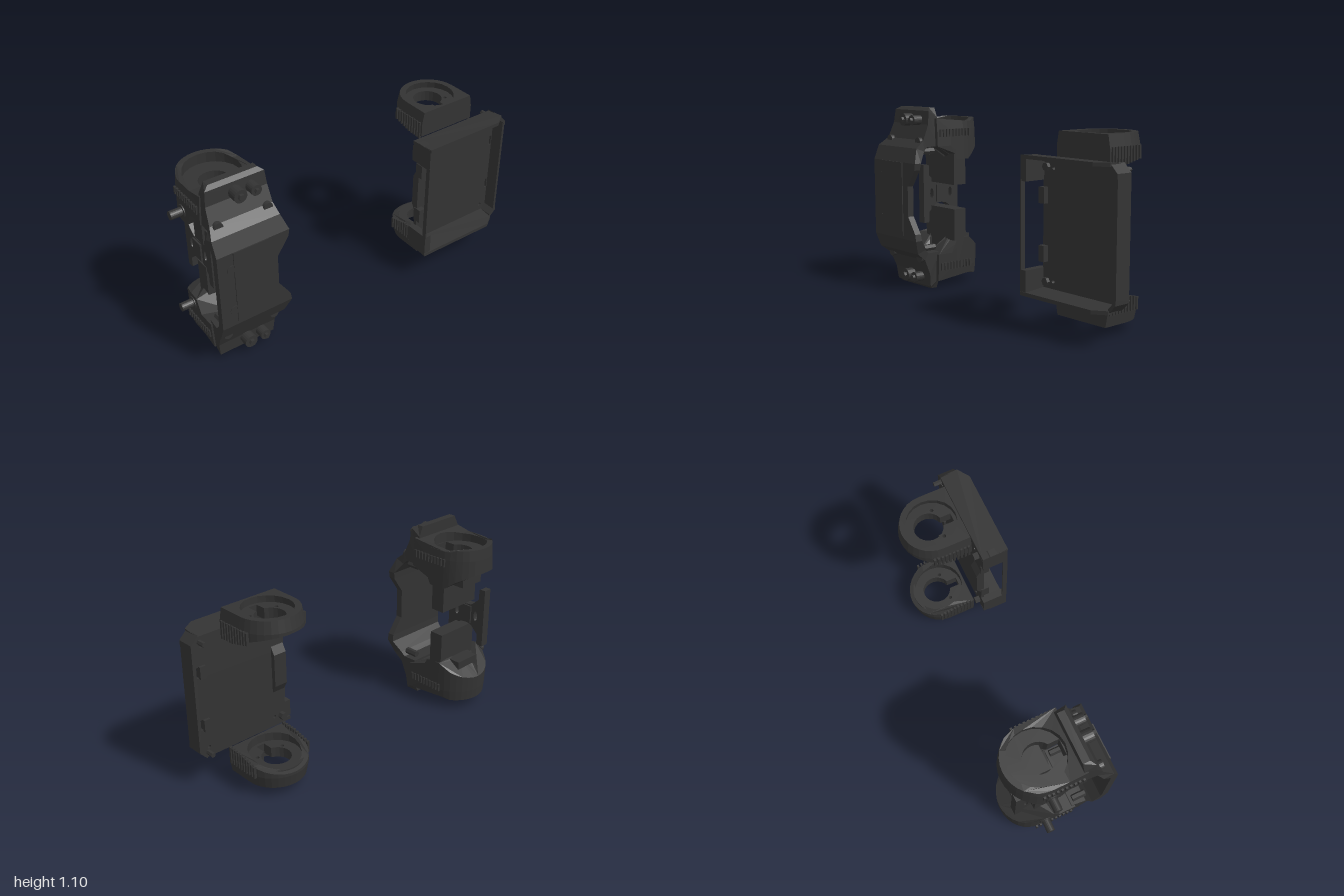
import * as THREE from 'three';

const mat = new THREE.MeshStandardMaterial({ color: 0x333333, flatShading: true, side: THREE.DoubleSide });
const V = (x, y) => new THREE.Vector2(x, y);

// Piecewise linear curve through [t, value] pairs
function curve(points, t) {
  if (t <= points[0][0]) return points[0][1];
  for (let i = 1; i < points.length; i++) {
    const [a, va] = points[i - 1], [b, vb] = points[i];
    if (t <= b) return va + (vb - va) * (t - a) / (b - a);
  }
  return points[points.length - 1][1];
}

// Move every vertex by a rule
function warp(geo, rule) {
  const p = geo.attributes.position, v = new THREE.Vector3();
  for (let i = 0; i < p.count; i++) {
    rule(v.fromBufferAttribute(p, i));
    p.setXYZ(i, v.x, v.y, v.z);
  }
  geo.computeVertexNormals();
  return geo;
}

// Draw a point in towards an upright axis, leaving the flat +x end in place
function pinch(v, cx, cz, k) {
  if (v.x < cx) v.x = cx + (v.x - cx) * k;
  v.z = cz + (v.z - cz) * k;
}

// Mirror a geometry in the level y = m, keeping faces outward
function flipY(geo, m) {
  const g = (geo.index ? geo.toNonIndexed() : geo.clone()).scale(1, -1, 1).translate(0, 2 * m, 0);
  const p = g.attributes.position, a = new THREE.Vector3(), b = new THREE.Vector3();
  for (let i = 0; i < p.count; i += 3) {
    a.fromBufferAttribute(p, i + 1);
    b.fromBufferAttribute(p, i + 2);
    p.setXYZ(i + 1, b.x, b.y, b.z);
    p.setXYZ(i + 2, a.x, a.y, a.z);
  }
  g.computeVertexNormals();
  return g;
}

function box(x0, x1, y0, y1, z0, z1) {
  return new THREE.BoxGeometry(x1 - x0, y1 - y0, z1 - z0).translate((x0 + x1) / 2, (y0 + y1) / 2, (z0 + z1) / 2);
}

function extrude(shape, depth) {
  return new THREE.ExtrudeGeometry(shape, { depth, bevelEnabled: false, curveSegments: 10 });
}

// Upright prism of an x/-z plan, from y0 to y1
function upright(shape, y0, y1) {
  return extrude(shape, y1 - y0).rotateX(-Math.PI / 2).translate(0, y0, 0);
}

// Four-sided bar through stations [outer x, outer y, inner x, inner y, low z, high z]
function loft(stations) {
  const pos = [], idx = [], n = stations.length;
  for (const [ox, oy, ix, iy, zl, zh] of stations) pos.push(ox, oy, zl, ox, oy, zh, ix, iy, zh, ix, iy, zl);
  for (let s = 0; s < n - 1; s++) {
    for (let k = 0; k < 4; k++) {
      const a = s * 4 + k, b = s * 4 + (k + 1) % 4;
      idx.push(a, b + 4, b, a, a + 4, b + 4);
    }
  }
  const e = (n - 1) * 4;
  idx.push(0, 1, 2, 0, 2, 3, e, e + 2, e + 1, e, e + 3, e + 2);
  const g = new THREE.BufferGeometry();
  g.setAttribute('position', new THREE.Float32BufferAttribute(pos, 3));
  g.setIndex(idx);
  g.computeVertexNormals();
  return g;
}

// D-shaped plan: round towards -x, straight sides towards +x
function dPlan(cx, cz, r, xEnd, hole) {
  const pts = [];
  for (let i = 0; i <= 16; i++) {
    const a = Math.PI / 2 + Math.PI * i / 16;
    pts.push(V(cx + r * Math.cos(a), -cz + r * Math.sin(a)));
  }
  for (const x of [-0.04, 0, xEnd]) if (x > cx + 0.01) pts.push(V(x, -cz - r));
  for (const x of [xEnd, 0, -0.04]) if (x > cx + 0.01) pts.push(V(x, -cz + r));
  const s = new THREE.Shape(pts);
  s.holes.push(hole);
  return s;
}

function roundHole(cx, cz, r) {
  return new THREE.Path().absarc(cx, -cz, r, 0, Math.PI * 2, true);
}

// Round hole with a slot towards +x
function keyHole(cx, cz, r, xEnd, half) {
  const a = Math.asin(half / r), h = new THREE.Path();
  h.absarc(cx, -cz, r, a, Math.PI * 2 - a, false);
  h.lineTo(xEnd, -cz - half);
  h.lineTo(xEnd, -cz + half);
  h.closePath();
  return h;
}

function rod(r, len, axis, x, y, z, sides = 20) {
  const g = new THREE.CylinderGeometry(r, r, len, sides);
  if (axis === 'x') g.rotateZ(Math.PI / 2);
  if (axis === 'z') g.rotateX(Math.PI / 2);
  return g.translate(x, y, z);
}

export function createModel() {
  const root = new THREE.Group(), front = new THREE.Group(), back = new THREE.Group();
  front.name = 'frontBracket';
  back.name = 'backCover';
  root.add(front, back);
  const add = (group, name, geo) => {
    const m = new THREE.Mesh(geo, mat);
    m.name = name;
    group.add(m);
  };
  const pair = (group, name, geo, m) => {
    add(group, name + 'Upper', geo);
    add(group, name + 'Lower', flipY(geo, m));
  };

  // ---- Front bracket: arms mirror about A, side strip about M ----
  const A = 0.5425, M = 0.55, cx = -0.097, cz = 0.737, R = 0.192;
  const under = [[-0.29, 0.88], [-0.21, 0.84], [-0.13, 0.78], [-0.04, 0.79], [0, 0.87], [0.1, 0.87]];
  const arm = upright(dPlan(cx, cz, R, 0.1, keyHole(-0.08, cz, 0.085, 0.055, 0.045)), 0, 1);
  pair(front, 'arm', warp(arm, v => {
    if (v.y < 0.5) v.y = curve(under, v.x);
    else { v.y = 0.965; pinch(v, cx, cz, 0.98); }
  }), A);
  const topLine = [[-0.29, 1.027], [-0.2, 1.027], [-0.17, 1.012], [0, 1.014], [0.1, 1.035]];
  pair(front, 'armRim', warp(upright(dPlan(cx, cz, R, 0.1, roundHole(cx, cz, 0.16)), 0.965, 1.02), v => {
    const top = v.y > 1;
    if (top) v.y = curve(topLine, v.x);
    pinch(v, cx, cz, top ? 0.95 : 0.98);
  }), A);
  pair(front, 'armBlock', box(-0.21, -0.04, 0.785, 0.9, 0.64, 0.8), A);
  pair(front, 'post', box(-0.128, -0.04, 0.625, 0.82, 0.57, 0.855), M);

  // Side strip
  pair(front, 'sideStrip', loft([
    [0.28, 0.55, 0.24, 0.55, 0.605, 0.95],
    [0.28, 0.64, 0.24, 0.64, 0.605, 0.95],
    [0.28, 0.74, 0.24, 0.74, 0.537, 0.95],
    [0.28, 0.78, 0.236, 0.78, 0.53, 0.95],
    [0.245, 0.865, 0.19, 0.845, 0.56, 0.95],
    [0.19, 0.91, 0.165, 0.87, 0.565, 0.925],
    [0.152, 1, 0.08, 0.87, 0.568, 0.918],
    [0.143, 1.08, 0.08, 1.04, 0.575, 0.91],
    [0.12, 1.098, 0.08, 1.098, 0.6, 0.88]]), M);
  add(front, 'sidePanel', box(0.27, 0.286, 0.34, 0.78, 0.655, 0.86));
  for (const y of [0.42, 0.68]) add(front, 'panelScrew', rod(0.027, 0.02, 'x', 0.274, y, 0.872));

  // Bolts, pins and cooling ribs
  for (const [z, r] of [[0.66, 0.03], [0.75, 0.037]]) {
    pair(front, 'boltHead', rod(r, 0.08, 'x', 0.165, 1.025, z), M);
    pair(front, 'boltTip', rod(r * 0.5, 0.03, 'x', 0.207, 1.025, z, 6), M);
  }
  for (const z of [0.6, 0.885]) {
    pair(front, 'cornerBolt', rod(0.026, 0.08, 'x', 0.168, 0.9, z), M);
    pair(front, 'innerNut', rod(0.02, 0.08, 'x', 0.135, 0.842, z, 6), M);
  }
  pair(front, 'pinBoss', rod(0.037, 0.02, 'z', -0.09, 0.846, 0.923), A);
  pair(front, 'pin', rod(0.024, 0.09, 'z', -0.09, 0.846, 0.955), A);
  for (let i = 0; i < 10; i++) {
    const x = -0.145 + i * 0.024;
    for (const z of [cz - R, cz + R]) pair(front, 'rib', box(x, x + 0.012, 0.925, 0.97, z - 0.006, z + 0.006), A);
  }

  // H-shaped plate: one quarter mirrored both ways
  const q = [[0, 0.06], [0.035, 0.065], [0.05, 0.075], [0.092, 0.115], [0.092, 0.175], [0.1, 0.182], [0.134, 0.182]];
  const rq = [...q].reverse();
  const outline = [...q, ...rq.map(p => [p[0], -p[1]]), ...q.slice(1).map(p => [-p[0], -p[1]]),
    ...rq.slice(0, -1).map(p => [-p[0], p[1]])];
  const plate = new THREE.Shape(outline.map(p => V(p[0], p[1])));
  for (const s of [-1, 1]) {
    plate.holes.push(new THREE.Path().absellipse(s * 0.072, 0, 0.013, 0.032, 0, Math.PI * 2, true));
  }
  add(front, 'crossPlate', extrude(plate, 0.05).translate(-0.115, 0.55, 0.8));
  add(front, 'crossPlateHub', box(-0.155, -0.075, 0.495, 0.605, 0.79, 0.86));

  // ---- Back cover, mirrored about its own mid height ----
  const N = 0.54, bx = -0.045, bz = -0.655, r = 0.182;
  // Shallow rings: a holed floor, a rim outside and a tapering wall inside
  const floor = dPlan(bx, bz, 0.16, 0.11, keyHole(-0.06, bz, 0.082, 0.08, 0.025));
  for (const s of [-1, 1]) floor.holes.push(roundHole(-0.005, bz + s * 0.085, 0.01));
  const hollow = () => dPlan(bx, bz, r, 0.112, roundHole(bx, bz, 0.145));
  pair(back, 'ringFloor', upright(floor, 0.925, 0.985), N);
  pair(back, 'ringRim', warp(upright(hollow(), 0.955, 1.022), v => { if (v.y > 1) pinch(v, bx, bz, 0.93); }), N);
  const taper = [[-0.227, 0.94], [-0.1, 0.905], [0, 0.88], [0.112, 0.875]];
  pair(back, 'ringWall', warp(upright(hollow(), 0, 0.955), v => { if (v.y < 0.5) v.y = curve(taper, v.x); }), N);
  for (let i = 0; i < 10; i++) {
    const x = -0.11 + i * 0.022, y = curve(taper, x) - 0.015;
    for (const z of [bz - r, bz + r]) pair(back, 'ringRib', box(x, x + 0.012, y, 0.96, z - 0.008, z + 0.008), N);
  }

  // Tray base, open towards +x, with clip slots, screw holes and a grip recess
  const base = new THREE.Shape([V(0.425, 0.19), V(0.96, 0.19), V(0.99, 0.23), V(0.99, 0.85), V(0.96, 0.89), V(0.425, 0.89)]);
  const slot = (u0, u1, y0, y1) => base.holes.push(new THREE.Path([V(u0, y0), V(u0, y1), V(u1, y1), V(u1, y0)]));
  slot(0.967, 0.98, 0.36, 0.42);
  slot(0.967, 0.98, 0.665, 0.725);
  slot(0.435, 0.5, 0.45, 0.65);
  for (const u of [0.5, 0.94]) for (const y of [0.245, 0.835]) {
    base.holes.push(new THREE.Path().absarc(u, y, 0.01, 0, Math.PI * 2, true));
  }
  add(back, 'trayBase', extrude(base, 0.02).rotateY(Math.PI / 2).translate(0.14, 0, 0));

  // Tray walls: ends with a cut rear edge, chamfered rear corners, solid front corners
  const end = new THREE.Shape([V(0.14, 0.39), V(0.29, 0.39), V(0.29, 0.89), V(0.242, 0.96), V(0.14, 0.96)]);
  pair(back, 'trayEnd', warp(upright(end, 0.885, 0.905), v => { if (v.x < 0.16) v.y -= 0.012; }), N);
  pair(back, 'trayChamfer', warp(box(0.14, 0.238, 0.875, 0.9, -1, -0.955), v => { if (v.z < -0.98) v.y -= 0.045; }), N);
  add(back, 'trayRearWall', box(0.14, 0.235, 0.225, 0.855, -1, -0.985));
  const corner = new THREE.Shape([V(0.14, 0.77), V(0.288, 0.77), V(0.288, 0.9), V(0.185, 0.9), V(0.14, 0.865)]);
  pair(back, 'trayCorner', extrude(corner, 0.042).translate(0, 0, -0.43), N);
  add(back, 'trayFrontBar', box(0.262, 0.29, 0.3, 0.78, -0.396, -0.388));
  pair(back, 'rearClip', box(0.125, 0.145, 0.66, 0.73, -0.967, -0.93), N);
  pair(back, 'frontStud', rod(0.022, 0.07, 'x', 0.145, 0.84, -0.455, 6), N);
  pair(back, 'rearStud', rod(0.014, 0.05, 'x', 0.118, 0.862, -0.95, 6), N);

  // Grip rail on the front edge
  const rail = new THREE.Shape([V(0.14, 0.26), V(0.16, 0.26), V(0.16, 0.8), V(0.14, 0.8), V(0.14, 0.68),
    V(0.115, 0.635), V(0.115, 0.445), V(0.14, 0.4)]);
  add(back, 'gripRail', extrude(rail, 0.08).translate(0, 0, -0.505));
  pair(back, 'railPad', box(0.14, 0.19, 0.65, 0.735, -0.46, -0.42), N);

  return root;
}
